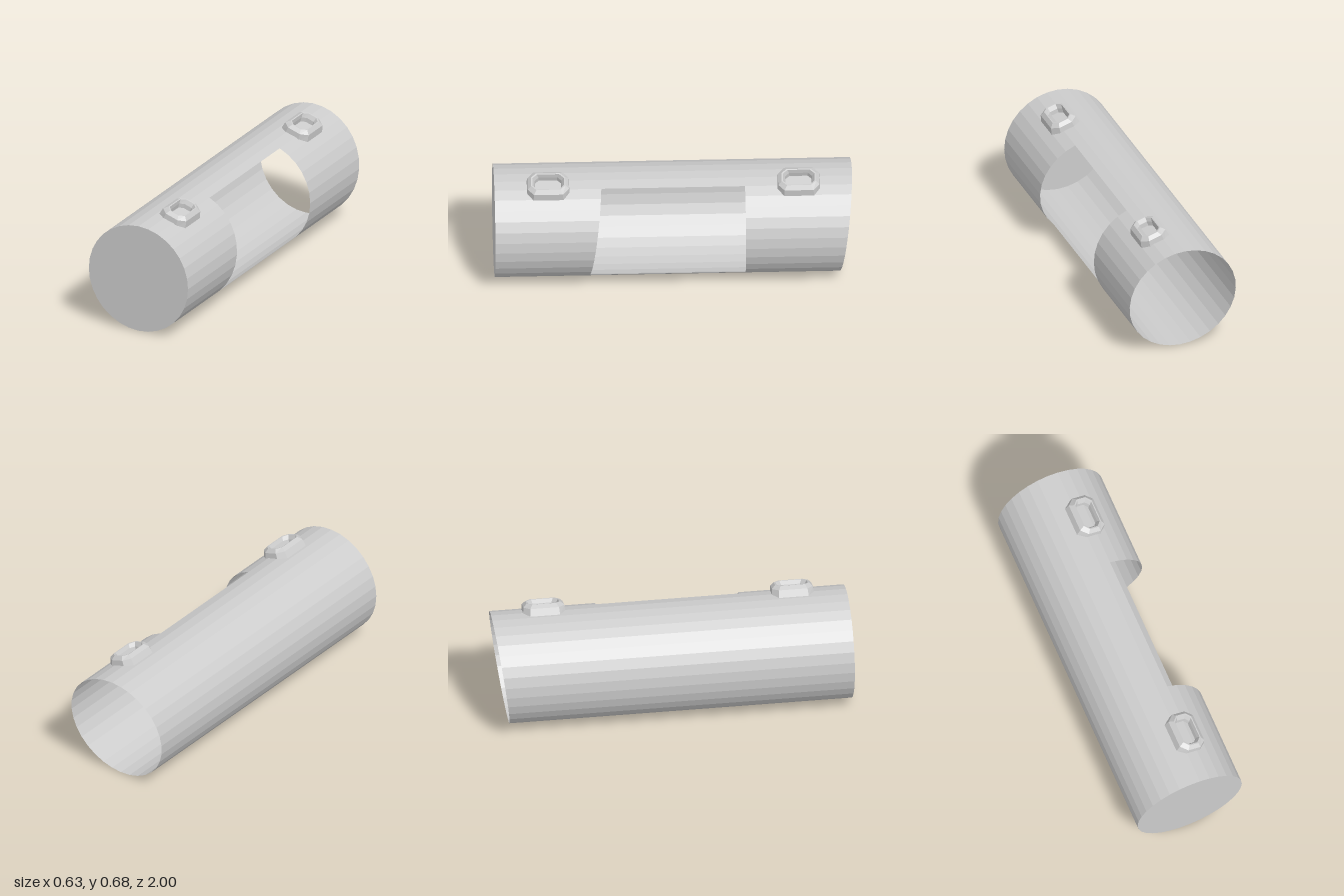
import * as THREE from 'three';

const R = 0.317, SIDES = 32, STEP = (Math.PI * 2) / SIDES;
const material = new THREE.MeshStandardMaterial({ color: 0xcccccc, flatShading: true, side: THREE.DoubleSide });

// leaning end planes: z depends on height above the tube's axis
const slanted = (zTop) => (y) => zTop + 0.126 * (R - y);
const straight = (z) => () => z;

// open shell between two end planes, from facet k0 to k1 (0 = top, turning towards +x)
function shell(name, k0, k1, back, front) {
  const g = new THREE.CylinderGeometry(R, R, 1, k1 - k0, 1, true, k0 * STEP, (k1 - k0) * STEP);
  g.rotateX(-Math.PI / 2);
  const p = g.attributes.position;
  for (let i = 0; i < p.count; i++) {
    const y = p.getY(i);
    p.setZ(i, p.getZ(i) < 0 ? back(y) : front(y));
  }
  g.computeVertexNormals();
  const mesh = new THREE.Mesh(g, material);
  mesh.name = name;
  mesh.position.y = R;
  return mesh;
}

// eight-sided mounting collar lofted through rings of [half width, half length, height]
function collar(name, z) {
  const rings = [
    [0.088, 0.12, 0.3], [0.078, 0.115, 0.345], [0.056, 0.096, 0.364],
    [0.05, 0.088, 0.363], [0.045, 0.075, 0.34], [0.043, 0.072, 0.31],
  ];
  const pos = [], index = [];
  for (const [w, l, h] of rings) {
    const a = w * 0.5, b = l * 0.7;
    const outline = [[w, b], [a, l], [-a, l], [-w, b], [-w, -b], [-a, -l], [a, -l], [w, -b]];
    for (const [x, zz] of outline) pos.push(x, h, zz);
  }
  for (let r = 0; r < rings.length - 1; r++) {
    for (let i = 0; i < 8; i++) {
      const a = r * 8 + i, b = r * 8 + ((i + 1) % 8);
      index.push(a, a + 8, b, b, a + 8, b + 8);
    }
  }
  const g = new THREE.BufferGeometry();
  g.setAttribute('position', new THREE.Float32BufferAttribute(pos, 3));
  g.setIndex(index);
  g.computeVertexNormals();
  const mesh = new THREE.Mesh(g, material);
  mesh.name = name;
  mesh.position.set(0, R, z);
  mesh.rotation.z = -0.322;
  return mesh;
}

export function createModel() {
  const model = new THREE.Group();
  model.name = 'slottedTube';

  // tube in three lengths, the middle one open on its left side
  const slotFront = slanted(0.4), slotBack = straight(-0.4);
  model.add(shell('frontTube', 0, SIDES, slotFront, straight(1)));
  model.add(shell('middleTube', 12, SIDES + 2, slotBack, slotFront));
  model.add(shell('backTube', 0, SIDES, slanted(-1), slotBack));

  // flat disc closing the front end
  const cap = new THREE.Mesh(new THREE.CircleGeometry(R, SIDES), material);
  cap.name = 'frontCap';
  cap.position.set(0, R, 1);
  model.add(cap);

  // two collars on top
  model.add(collar('frontCollar', 0.7), collar('backCollar', -0.7));
  return model;
}
